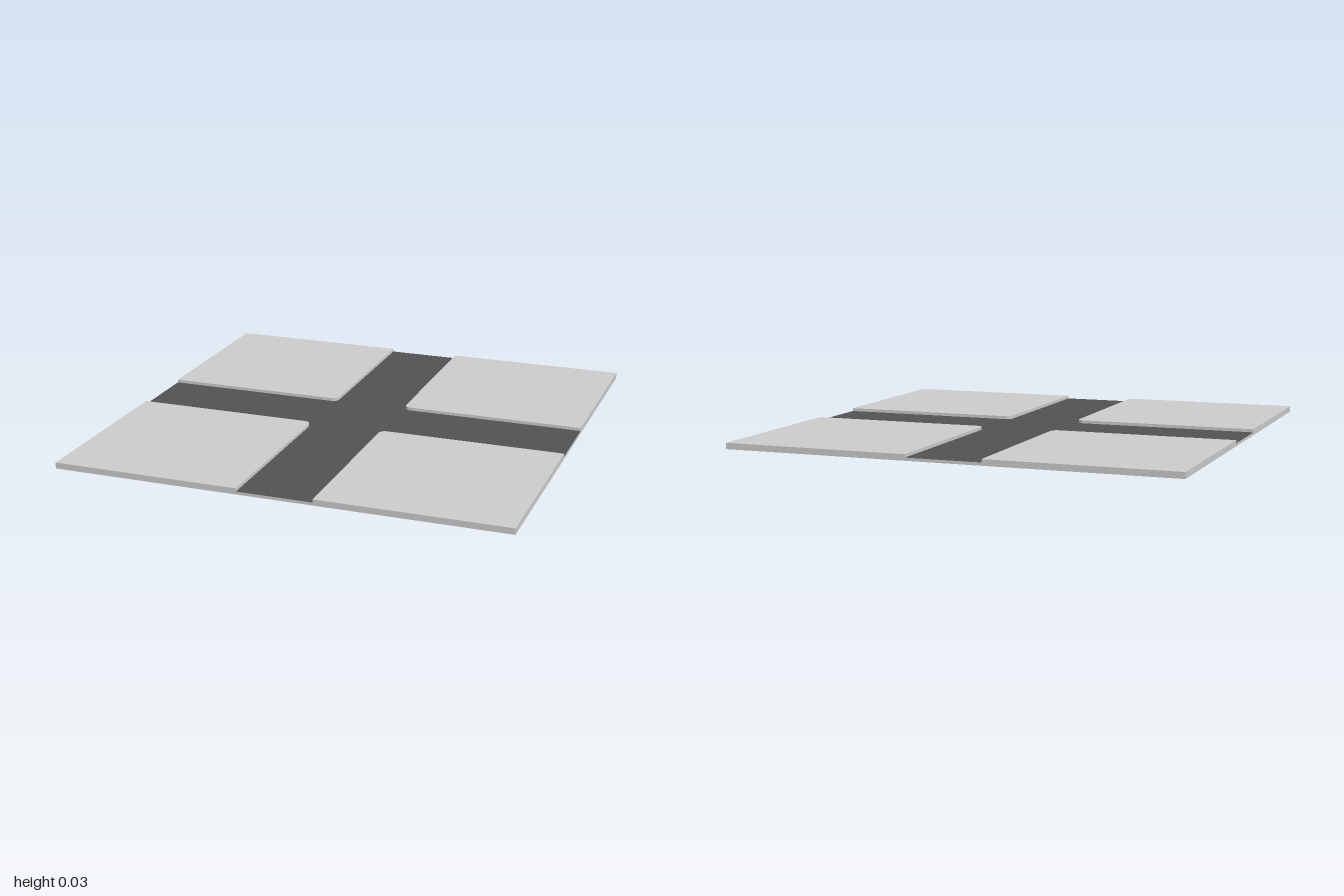
import * as THREE from 'three';

const ROAD_Y = 0.013, TOP_Y = 0.027, HALF_ROAD = 0.167, RADIUS = 0.03;

export function createModel() {
  const model = new THREE.Group();
  model.name = 'crossroads';
  const grey = new THREE.MeshStandardMaterial({ color: 0xcccccc });
  const asphalt = new THREE.MeshStandardMaterial({ color: 0x525252 });

  // Base slab with an asphalt upper face (box face order: +x -x +y -y +z -z)
  const slab = new THREE.Mesh(
    new THREE.BoxGeometry(2, ROAD_Y, 2),
    [grey, grey, asphalt, grey, grey, grey]
  );
  slab.name = 'roadSlab';
  slab.position.y = ROAD_Y / 2;
  model.add(slab);

  // Raised pavement quarter, rounded at the corner facing the junction
  const outline = new THREE.Shape();
  outline.moveTo(HALF_ROAD + RADIUS, HALF_ROAD);
  outline.lineTo(1, HALF_ROAD);
  outline.lineTo(1, 1);
  outline.lineTo(HALF_ROAD, 1);
  outline.lineTo(HALF_ROAD, HALF_ROAD + RADIUS);
  outline.absarc(HALF_ROAD + RADIUS, HALF_ROAD + RADIUS, RADIUS, Math.PI, Math.PI * 1.5, false);
  const pavement = new THREE.ExtrudeGeometry(outline, {
    depth: TOP_Y - ROAD_Y, bevelEnabled: false, curveSegments: 6,
  });
  pavement.rotateX(-Math.PI / 2);

  // One quarter in each corner
  ['BackLeft', 'BackRight', 'FrontRight', 'FrontLeft'].forEach((corner, i) => {
    const quarter = new THREE.Mesh(pavement, grey);
    quarter.name = 'pavement' + corner;
    quarter.position.y = ROAD_Y;
    quarter.rotation.y = (i * Math.PI) / 2;
    model.add(quarter);
  });

  return model;
}
